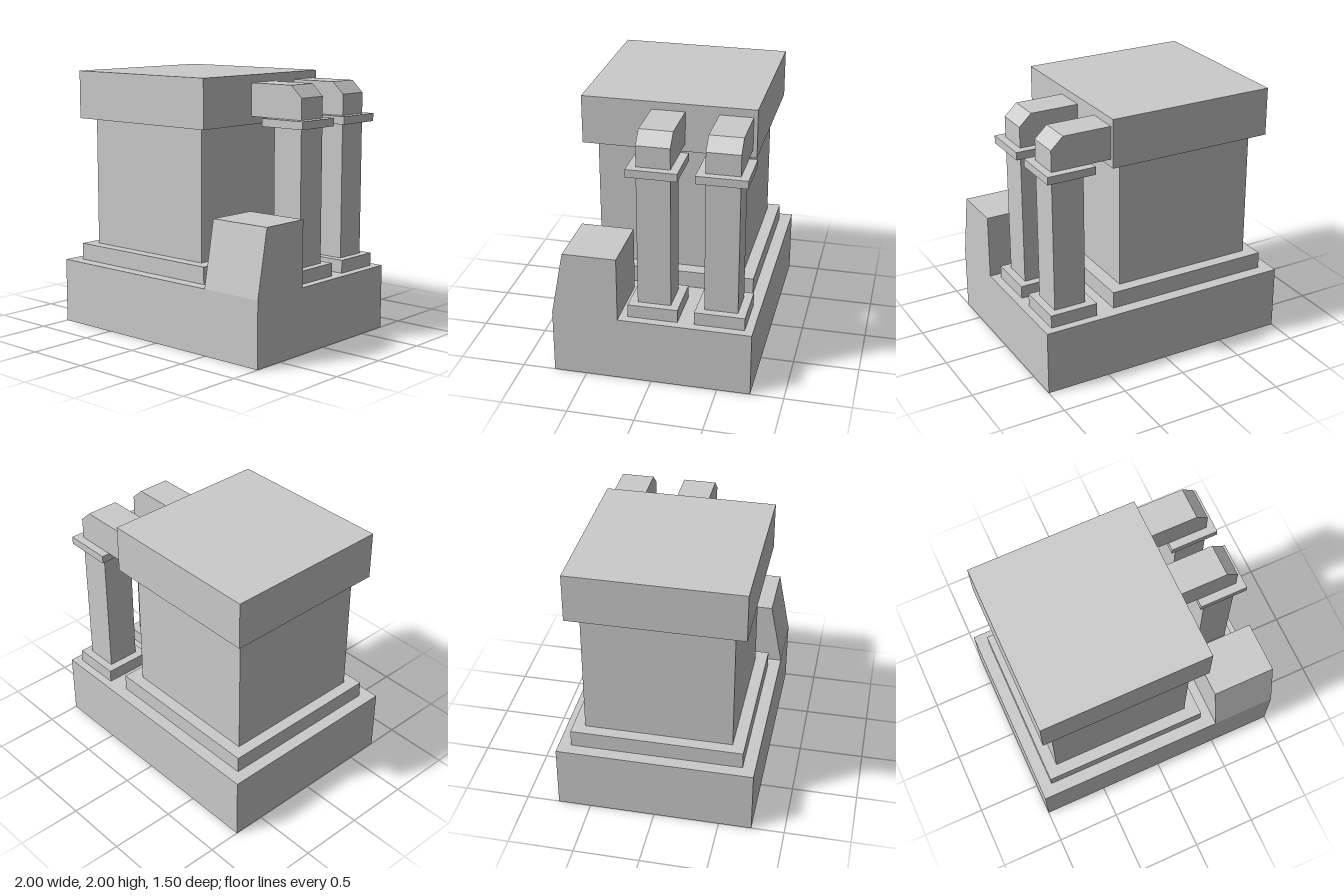
import * as THREE from 'three';

const material = new THREE.MeshStandardMaterial({ color: 0xcccccc, flatShading: true });

// Box given by its lower and upper limits on each axis
function block(name, [x0, x1], [y0, y1], [z0, z1]) {
  const geometry = new THREE.BoxGeometry(x1 - x0, y1 - y0, z1 - z0);
  geometry.translate((x0 + x1) / 2, (y0 + y1) / 2, (z0 + z1) / 2);
  const mesh = new THREE.Mesh(geometry, material);
  mesh.name = name;
  return mesh;
}

// Straight extrusion of a 2D outline along +z
function extrude(points, depth) {
  const shape = new THREE.Shape(points.map(([x, y]) => new THREE.Vector2(x, y)));
  return new THREE.ExtrudeGeometry(shape, { depth, bevelEnabled: false });
}

// Square pipe with flanges and a chamfered elbow running into the cap
function createPipe(z) {
  const pipe = new THREE.Group();
  pipe.name = 'pipe';
  const flangeX = [0.56, 0.935];
  const flangeZ = [-0.1875, 0.1875];
  pipe.add(
    block('pipeFoot', flangeX, [0.5, 0.6], flangeZ),
    block('pipeShaft', [0.625, 0.875], [0.6, 1.63], [-0.125, 0.125]),
    block('pipeFlange', flangeX, [1.63, 1.69], flangeZ)
  );
  const elbowGeometry = extrude(
    [[0.4, 1.69], [0.875, 1.69], [0.875, 1.85], [0.78, 1.94], [0.4, 1.94]], 0.25);
  elbowGeometry.translate(0, 0, -0.125);
  const elbow = new THREE.Mesh(elbowGeometry, material);
  elbow.name = 'pipeElbow';
  pipe.add(elbow);
  pipe.position.z = z;
  return pipe;
}

export function createModel() {
  const model = new THREE.Group();
  model.name = 'machine';

  // Base slab and the stepped main tower
  model.add(
    block('base', [-1, 1], [0, 0.5], [-0.75, 0.75]),
    block('towerPlinth', [-0.905, 0.405], [0.5, 0.63], [-0.655, 0.655]),
    block('towerBody', [-0.815, 0.3], [0.63, 1.63], [-0.563, 0.563]),
    block('towerCap', [-0.905, 0.405], [1.63, 2], [-0.655, 0.655])
  );

  // Control console with a sloped front, outlined in z and y
  const consoleGeometry = extrude([[0.25, 0.5], [0.75, 0.5], [0.655, 1], [0.25, 1]], 0.5);
  consoleGeometry.rotateY(-Math.PI / 2).translate(1, 0, 0);
  const controlConsole = new THREE.Mesh(consoleGeometry, material);
  controlConsole.name = 'console';
  model.add(controlConsole);

  // Two pipes beside the tower
  for (const z of [0, -0.5]) model.add(createPipe(z));

  return model;
}
